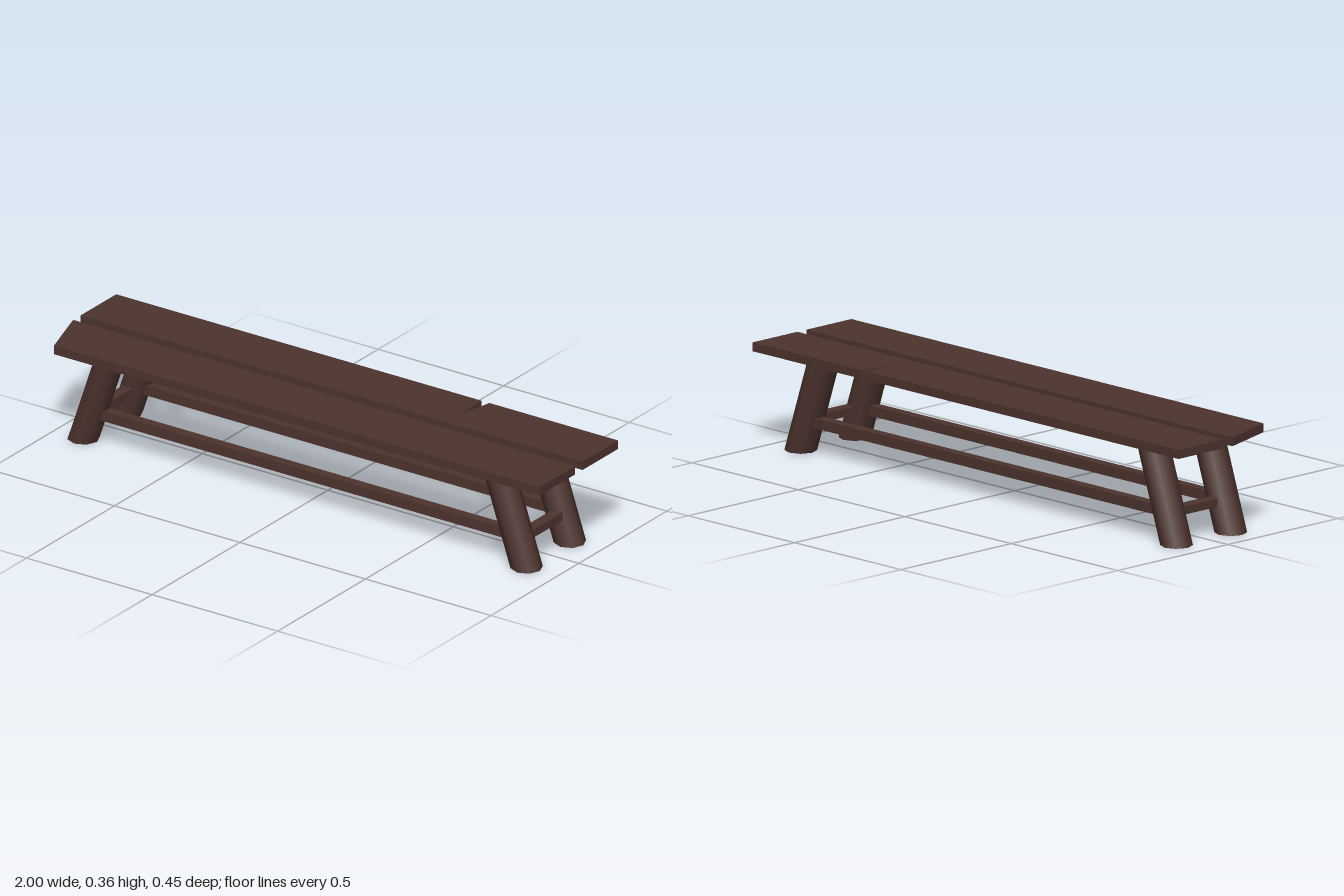
import * as THREE from 'three';

const wood = new THREE.MeshStandardMaterial({ color: 0x4e342e });
wood.name = 'dark wood';

export function createModel() {
  const bench = new THREE.Group();
  bench.name = 'bench';

  const add = (name, geometry) => {
    const mesh = new THREE.Mesh(geometry, wood);
    mesh.name = name;
    bench.add(mesh);
  };

  // Box given by its centre and size
  const beam = (name, x, y, z, w, h, d) =>
    add(name, new THREE.BoxGeometry(w, h, d).translate(x, y, z));

  // Seat plank from an outline of [x, z] corners
  const plank = (name, outline) => {
    const shape = new THREE.Shape(outline.map(([x, z]) => new THREE.Vector2(x, -z)));
    const geometry = new THREE.ExtrudeGeometry(shape, { depth: 0.03, bevelEnabled: false });
    add(name, geometry.rotateX(-Math.PI / 2).translate(0, 0.327, 0));
  };

  // Front plank with a slanted end, back plank with a split
  plank('frontPlank', [[-0.935, 0.224], [1, 0.224], [1, 0.021], [-1, 0.021]]);
  plank('backPlank', [
    [-1, -0.021], [1, -0.021], [1, -0.224], [0.487, -0.224],
    [0.46, -0.098], [0.455, -0.224], [-1, -0.224],
  ]);

  // Round leg leaning inwards, with its ends cut level
  const height = 0.328;
  const leg = (name, bottomX, topX, z) => {
    const geometry = new THREE.CylinderGeometry(0.0535, 0.0535, height, 8);
    const lean = (topX - bottomX) / height;
    geometry.translate(0, height / 2, 0);
    geometry.applyMatrix4(new THREE.Matrix4().set(
      1, lean, 0, bottomX,
      0, 1, 0, 0,
      0, 0, 1, z,
      0, 0, 0, 1,
    ));
    add(name, geometry);
  };

  for (const [side, z] of [['front', 0.1215], ['back', -0.1245]]) {
    leg(side + 'RightLeg', -0.888, -0.777, z);
    leg(side + 'LeftLeg', 0.877, 0.766, z);
    // Long stretcher between the legs
    beam(side + 'Stretcher', -0.005, 0.108, z, 1.66, 0.035, 0.035);
  }

  // Cross stretchers between legs, and battens under the planks
  for (const [side, crossX, battenX] of [['right', -0.852, -0.633], ['left', 0.856, 0.627]]) {
    beam(side + 'CrossStretcher', crossX, 0.104, 0, 0.04, 0.028, 0.2);
    beam(side + 'Batten', battenX, 0.3165, 0, 0.044, 0.021, 0.33);
  }

  return bench;
}
